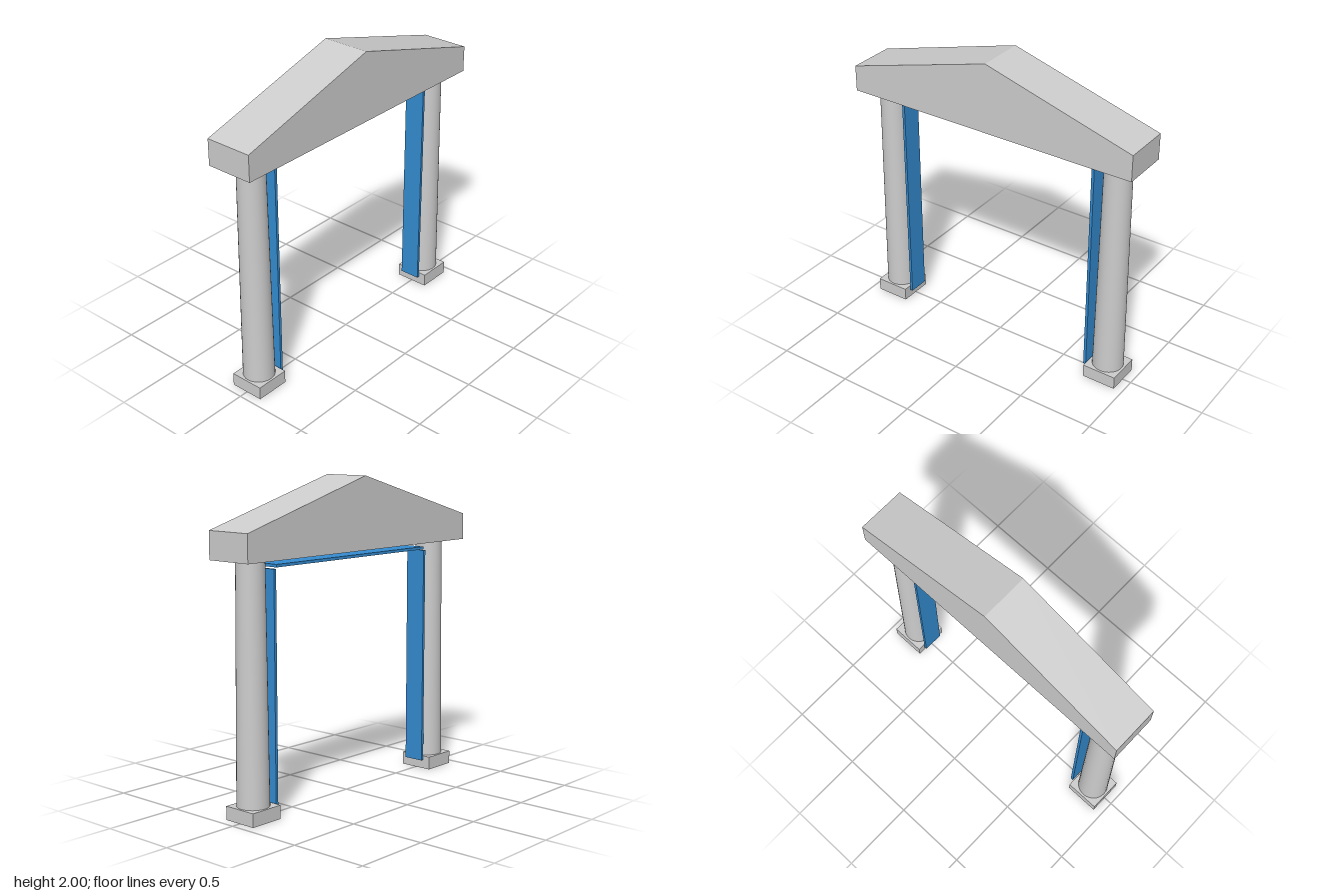
import * as THREE from 'three';

export function createModel() {
  const group = new THREE.Group();
  const stone = new THREE.MeshStandardMaterial({ color: 0xcccccc });
  stone.name = 'pale grey stone';
  const blue = new THREE.MeshStandardMaterial({ color: 0x348bd0 });
  blue.name = 'blue trim';

  const add = (name, geometry, material, x, y, z = 0) => {
    const mesh = new THREE.Mesh(geometry, material);
    mesh.name = name;
    mesh.position.set(x, y, z);
    group.add(mesh);
    return mesh;
  };
  // Box given by its bottom height
  const box = (name, w, h, d, material, x, bottom) =>
    add(name, new THREE.BoxGeometry(w, h, d), material, x, bottom + h / 2);

  const depth = 0.314, beamBottom = 1.545, beamTop = 1.715, baseTop = 0.085;

  // Plinth, tapered column and inner trim on each side
  for (const [side, s] of [['left', 1], ['right', -1]]) {
    box(side + 'Plinth', 0.226, baseTop, 0.226, stone, s * 0.829, 0);
    const h = beamBottom - baseTop;
    add(side + 'Column', new THREE.CylinderGeometry(0.086, 0.1, h, 32), stone,
      s * 0.829, baseTop + h / 2);
    box(side + 'Trim', 0.018, 1.425, 0.137, blue, s * 0.698, 0.06);
  }

  // Trim hung below the beam
  box('topTrim', 1.37, 0.018, 0.137, blue, 0, 1.493);

  // Beam across the columns
  box('beam', 2, beamTop - beamBottom, depth, stone, 0, beamBottom);

  // Triangular pediment
  const gable = new THREE.Shape([
    new THREE.Vector2(-1, 0), new THREE.Vector2(1, 0), new THREE.Vector2(0, 2 - beamTop),
  ]);
  add('pediment', new THREE.ExtrudeGeometry(gable, { depth, bevelEnabled: false }), stone,
    0, beamTop, -depth / 2);

  return group;
}
